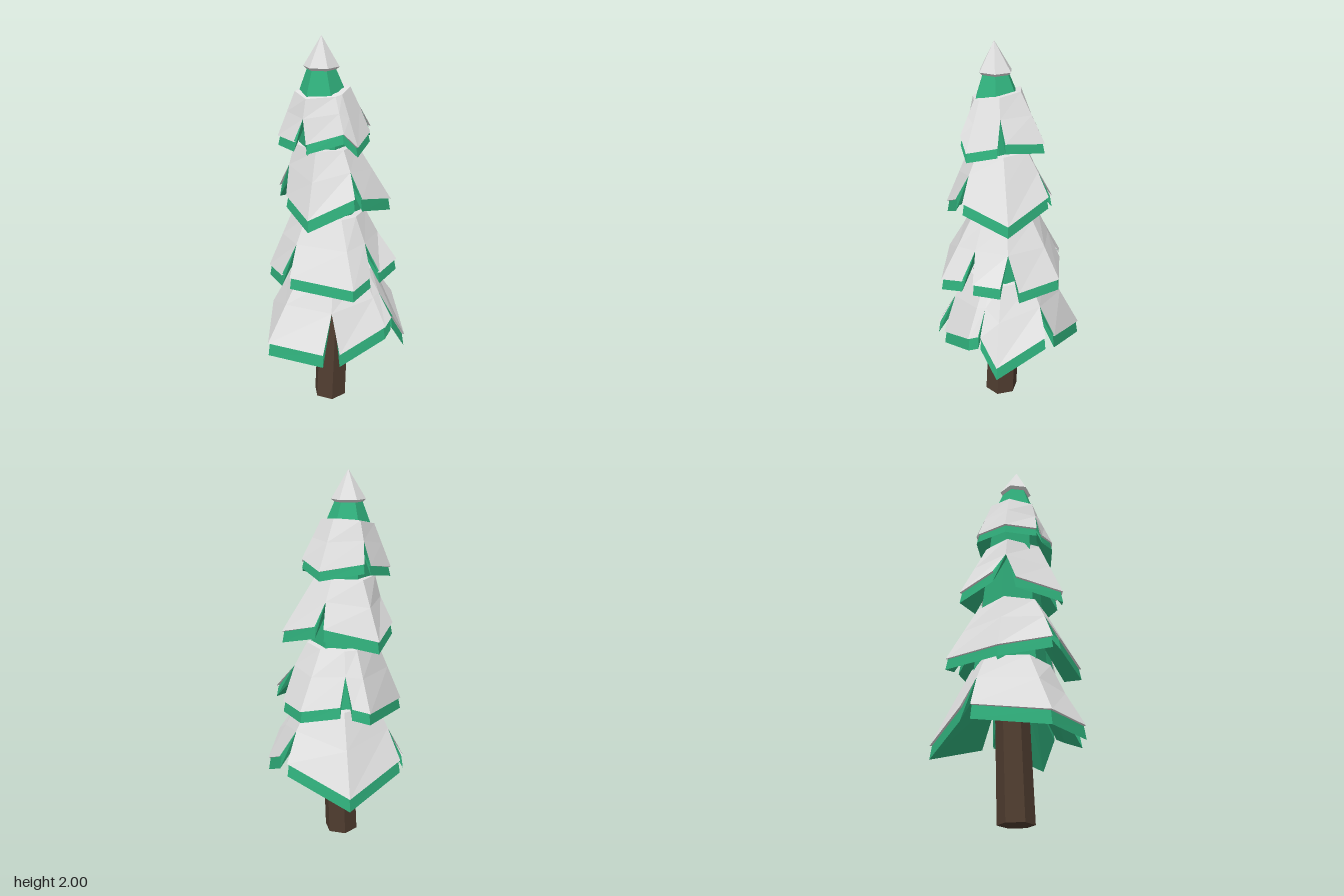
import * as THREE from 'three';

const snow = new THREE.MeshStandardMaterial({ color: 0xe0e0e0, side: THREE.DoubleSide });
snow.name = 'snow';
const needles = new THREE.MeshStandardMaterial({ color: 0x30b07c, side: THREE.DoubleSide });
needles.name = 'needleGreen';
const bark = new THREE.MeshStandardMaterial({ color: 0x503d30 });
bark.name = 'bark';

function mesh(name, geometry, material) {
  const m = new THREE.Mesh(geometry, material);
  m.name = name;
  return m;
}

// Six-sided frustum whose two ends may be offset, with flat faces
function frustum(name, rBottom, rTop, from, to, material, turn = 0.23) {
  const g = new THREE.CylinderGeometry(rTop, rBottom, 1, 6, 1, false, turn).toNonIndexed();
  const p = g.attributes.position;
  for (let i = 0; i < p.count; i++) {
    const t = p.getY(i) + 0.5;
    p.setXYZ(i,
      p.getX(i) + from[0] + (to[0] - from[0]) * t,
      from[1] + (to[1] - from[1]) * t,
      p.getZ(i) + from[2] + (to[2] - from[2]) * t);
  }
  g.computeVertexNormals();
  return mesh(name, g, material);
}

// Sweeps a row of profiles; strips run from profile point `first`, four-point ends may be closed
function sweep(columns, first, closed) {
  const pos = [];
  const quad = (a, b, c, d) => [a, b, c, a, c, d].forEach((v) => pos.push(...v));
  for (let i = 0; i + 1 < columns.length; i++) {
    const a = columns[i], b = columns[i + 1];
    for (let k = first; k + 1 < a.length; k++) quad(a[k], b[k], b[k + 1], a[k + 1]);
  }
  if (closed) {
    quad(...columns[0]);
    quad(...columns[columns.length - 1].slice().reverse());
  }
  const g = new THREE.BufferGeometry();
  g.setAttribute('position', new THREE.Float32BufferAttribute(pos, 3));
  g.computeVertexNormals();
  return g;
}

const lerp = (a, b, t) => a.map((v, i) => v + (b[i] - v) * t);

// A ring of drooping flaps, joined above and split by slits below.
// Each flap lists its hem corners as [x, y, z].
function buildTier(name, { center: [cx, cy, cz], r, tilt, drop }, flaps) {
  const tier = new THREE.Group();
  tier.name = name;
  flaps.forEach((flap, f) => {
    const prev = flaps[(f + flaps.length - 1) % flaps.length];
    const next = flaps[(f + 1) % flaps.length];
    const snowCols = [], greenCols = [];
    flap.forEach((h, i) => {
      // Neighbouring flaps share the shoulder and the top of the slit
      let aim = h;
      if (i === 0) aim = lerp(h, prev[prev.length - 1], 0.5);
      if (i === flap.length - 1) aim = lerp(h, next[0], 0.5);
      const az = Math.atan2(aim[2] - cz, aim[0] - cx);
      const ring = (rad, dy) => {
        const dx = rad * Math.cos(az), dz = rad * Math.sin(az);
        return [cx + dx, cy + dy + tilt[0] * dx + tilt[1] * dz, cz + dz];
      };
      const hem = (inset, dy) => {
        const s = 1 - inset / Math.hypot(h[0] - cx, h[2] - cz);
        return [cx + (h[0] - cx) * s, h[1] + dy, cz + (h[2] - cz) * s];
      };
      const slitTop = lerp(ring(r, 0), aim, 0.45);
      snowCols.push([ring(r - 0.03, 0.004), ring(r, 0), slitTop, h, hem(0.014, -0.002)]);
      greenCols.push([slitTop, hem(0.012, -0.002), hem(0.001, -drop), ring(r - 0.025, -0.09)]);
    });
    tier.add(mesh('snowFlap', sweep(snowCols, 0, false), snow));
    tier.add(mesh('branchFlap', sweep(greenCols, 1, true), needles));
  });
  return tier;
}

export function createModel() {
  const tree = new THREE.Group();
  tree.name = 'snowyTree';

  tree.add(frustum('trunk', 0.092, 0.085, [-0.02, 0, 0.045], [0.015, 0.8, 0.02], bark, 0));

  // Green core seen between the tiers: [radius, centre]
  const core = [
    [0.2, [0, 0.72, 0.02]],
    [0.165, [-0.02, 1.11, 0.03]],
    [0.135, [-0.04, 1.46, 0.04]],
    [0.117, [-0.055, 1.73, 0.05]],
    [0.066, [-0.06, 1.855, 0.054]],
  ];
  for (let i = 0; i + 1 < core.length; i++) {
    tree.add(frustum('core', core[i][0], core[i + 1][0], core[i][1], core[i + 1][1], needles));
  }

  tree.add(buildTier('bottomTier', { center: [0, 0.8, 0.02], r: 0.21, tilt: [0, 0], drop: 0.072 }, [
    [[-0.283, 0.5, -0.203], [0.048, 0.41, -0.393], [0.323, 0.53, -0.153]],
    [[0.352, 0.55, -0.095], [0.371, 0.42, 0.176], [0.29, 0.57, 0.24]],
    [[0.28, 0.57, 0.25], [0.24, 0.54, 0.293], [-0.012, 0.44, 0.372]],
    [[-0.1, 0.455, 0.39], [-0.371, 0.45, 0.226], [-0.319, 0.5, -0.151]],
  ]));
  tree.add(buildTier('lowerTier', { center: [-0.02, 1.12, 0.03], r: 0.185, tilt: [0, 0], drop: 0.06 }, [
    [[0.065, 0.86, -0.26], [0.256, 0.83, -0.193], [0.302, 0.81, 0.036]],
    [[0.32, 0.86, 0.14], [0.21, 0.84, 0.255]],
    [[0.156, 0.84, 0.3], [0.054, 0.81, 0.387], [-0.252, 0.85, 0.278]],
    [[-0.29, 0.85, 0.24], [-0.337, 0.79, -0.026], [-0.079, 0.83, -0.31], [0.006, 0.85, -0.276]],
  ]));
  tree.add(buildTier('upperTier', { center: [-0.04, 1.47, 0.04], r: 0.155, tilt: [0, 0], drop: 0.062 }, [
    [[0.169, 1.26, -0.155], [0.29, 1.18, 0.09], [0.11, 1.25, 0.275]],
    [[0.07, 1.26, 0.3], [-0.16, 1.16, 0.3], [-0.245, 1.21, 0.06]],
    [[-0.27, 1.23, -0.057], [-0.142, 1.18, -0.239], [0.131, 1.25, -0.186]],
  ]));
  tree.add(buildTier('topTier', { center: [-0.055, 1.745, 0.05], r: 0.135, tilt: [0.12, -0.15], drop: 0.048 }, [
    [[-0.083, 1.56, -0.163], [0.14, 1.53, -0.139], [0.181, 1.56, 0.072]],
    [[0.173, 1.54, 0.109], [0.09, 1.5, 0.245], [0.02, 1.57, 0.255], [-0.154, 1.51, 0.2]],
    [[-0.21, 1.52, 0.172], [-0.275, 1.51, 0.007], [-0.119, 1.55, -0.151]],
  ]));

  // Snow cap with a thin rim
  tree.add(frustum('capRim', 0.074, 0.088, [-0.06, 1.842, 0.054], [-0.06, 1.855, 0.054], snow));
  tree.add(frustum('snowCap', 0.088, 0, [-0.06, 1.855, 0.054], [-0.06, 2, 0.06], snow));
  return tree;
}
